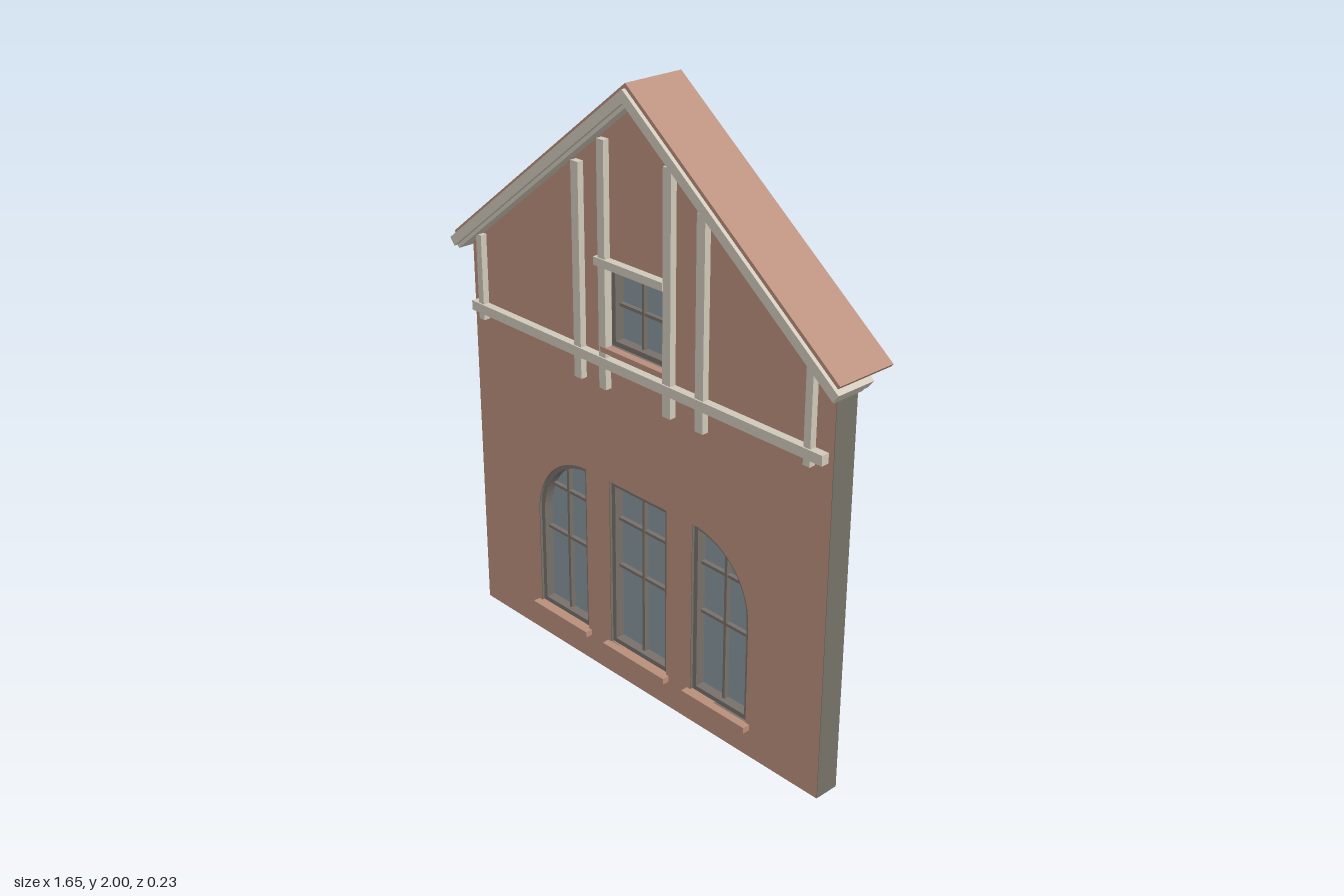
import * as THREE from 'three';

const mat = (name, color, side = THREE.FrontSide) => {
  const m = new THREE.MeshStandardMaterial({ color, side });
  m.name = name;
  return m;
};

const WALL_BACK = -0.025, WALL_FRONT = 0.06;
const PITCH = Math.atan(0.78);

// Closed polygon path from [x, y] points
const polygon = (points) => new THREE.Shape(points.map(([x, y]) => new THREE.Vector2(x, y)));
const rect = (x0, x1, y0, y1) => polygon([[x0, y0], [x1, y0], [x1, y1], [x0, y1]]);

// Half-arched opening: side = -1 curves on the left, +1 on the right; inset shrinks it
function halfArch(side, inset) {
  const inner = 0.24 + inset, r = 0.24 - inset * 1.0, cx = 0.24;
  const points = [[inner, 0.115 + inset], [0.48 - inset, 0.115 + inset]];
  const end = Math.acos(inset / r);
  for (let i = 0; i <= 14; i++) {
    const a = (end * i) / 14;
    points.push([cx + r * Math.cos(a), 0.465 + r * Math.sin(a)]);
  }
  const placed = points.map(([x, y]) => [x * side, y]);
  return polygon(side < 0 ? placed.reverse() : placed);
}

export function createModel() {
  const model = new THREE.Group();
  model.name = 'gableFacade';
  const brick = mat('brick', 0xb98e7b);
  const render = mat('greyRender', 0x757269);
  const timber = mat('creamTimber', 0xd0c9ba);
  const frameMat = mat('windowFrame', 0x77706a);
  const glass = mat('glass', 0x87949a, THREE.DoubleSide);

  const add = (parent, name, geometry, material) => {
    const mesh = new THREE.Mesh(geometry, material);
    mesh.name = name;
    parent.add(mesh);
    return mesh;
  };
  const box = (parent, name, material, x0, x1, y0, y1, z0, z1) =>
    add(parent, name, new THREE.BoxGeometry(x1 - x0, y1 - y0, z1 - z0), material)
      .position.set((x0 + x1) / 2, (y0 + y1) / 2, (z0 + z1) / 2);
  const extrude = (parent, name, material, shape, z0, z1) => {
    const g = new THREE.ExtrudeGeometry(shape, { depth: z1 - z0, bevelEnabled: false });
    add(parent, name, g.translate(0, 0, z0), material);
  };

  // Windows: outline by inset, mullion and transom positions, sill
  const windows = [
    { name: 'leftArchWindow', outline: (i) => halfArch(1, i), x: 0.36, y0: 0.115,
      bars: [[0.25, 0.47, 0.40], [0.25, 0.445, 0.57]], top: 0.68, sill: [0.225, 0.495, 0.095, 0.115] },
    { name: 'rightArchWindow', outline: (i) => halfArch(-1, i), x: -0.36, y0: 0.115,
      bars: [[-0.47, -0.25, 0.40], [-0.445, -0.25, 0.57]], top: 0.68, sill: [-0.495, -0.225, 0.095, 0.115] },
    { name: 'middleWindow', outline: (i) => rect(-0.13 + i, 0.13 - i, 0.115 + i, 0.705 - i), x: 0, y0: 0.115,
      bars: [[-0.12, 0.12, 0.40], [-0.12, 0.12, 0.57]], top: 0.695, sill: [-0.143, 0.143, 0.095, 0.115] },
    { name: 'atticWindow', outline: (i) => rect(-0.12 + i, 0.12 - i, 1.17 + i, 1.425 - i), x: 0, y0: 1.17,
      bars: [[-0.11, 0.11, 1.30]], top: 1.415, sill: [-0.135, 0.135, 1.153, 1.17] },
  ];

  // Gable wall: grey body with a brick front face
  const wall = polygon([[-0.775, 0], [0.775, 0], [0.775, 1.335], [0, 1.94], [-0.775, 1.335]]);
  windows.forEach((w) => wall.holes.push(w.outline(0)));
  extrude(model, 'wallBody', render, wall, WALL_BACK, WALL_FRONT - 0.002);
  add(model, 'brickFace', new THREE.ShapeGeometry(wall), brick).position.z = WALL_FRONT;

  // Window frames, glazing bars, panes and sills
  windows.forEach((w) => {
    const group = new THREE.Group();
    group.name = w.name;
    model.add(group);
    const frame = w.outline(0);
    frame.holes.push(w.outline(0.016));
    extrude(group, 'frame', frameMat, frame, 0.015, 0.05);
    add(group, 'pane', new THREE.ShapeGeometry(w.outline(0.002)), glass).position.z = 0.018;
    box(group, 'mullion', frameMat, w.x - 0.005, w.x + 0.005, w.y0 + 0.01, w.top, 0.019, 0.035);
    w.bars.forEach(([x0, x1, y]) => box(group, 'transom', frameMat, x0, x1, y - 0.005, y + 0.005, 0.019, 0.034));
    const [x0, x1, y0, y1] = w.sill;
    box(group, 'sill', brick, x0, x1, y0, y1, 0.04, 0.085);
  });

  // Timber framing: posts, rail and lintel
  const posts = [
    [-0.26, -0.228, 1.03, 1.72], [-0.145, -0.115, 1.03, 1.81], [0.132, 0.165, 1.03, 1.79],
    [0.267, 0.3, 1.03, 1.69], [-0.73, -0.705, 1.08, 1.37], [0.685, 0.71, 1.08, 1.38],
  ];
  posts.forEach((p) => box(model, 'timberPost', timber, ...p, WALL_FRONT - 0.005, 0.082));
  box(model, 'timberRail', timber, -0.76, 0.757, 1.103, 1.135, WALL_FRONT - 0.005, 0.087);
  box(model, 'timberLintel', timber, -0.16, 0.135, 1.424, 1.45, WALL_FRONT - 0.005, 0.087);

  // Pitched layers: top height at the ridge, half width, thickness, depth range
  const pitched = (name, material, top, half, thick, z0, z1) => {
    const slope = Math.tan(PITCH), s = Math.sin(PITCH) * thick, c = Math.cos(PITCH) * thick;
    const end = top - slope * half;
    extrude(model, name, material, polygon([
      [0, top], [-half, end], [-half + s, end - c],
      [0, top - thick / Math.cos(PITCH)], [half - s, end - c], [half, end],
    ]), z0, z1);
  };
  pitched('roof', brick, 2, 0.818, 0.012, -0.113, 0.1);
  pitched('bargeBoard', timber, 1.985, 0.825, 0.031, -0.028, 0.113);
  pitched('bargeMoulding', timber, 1.946, 0.806, 0.012, -0.012, 0.1);

  return model;
}
